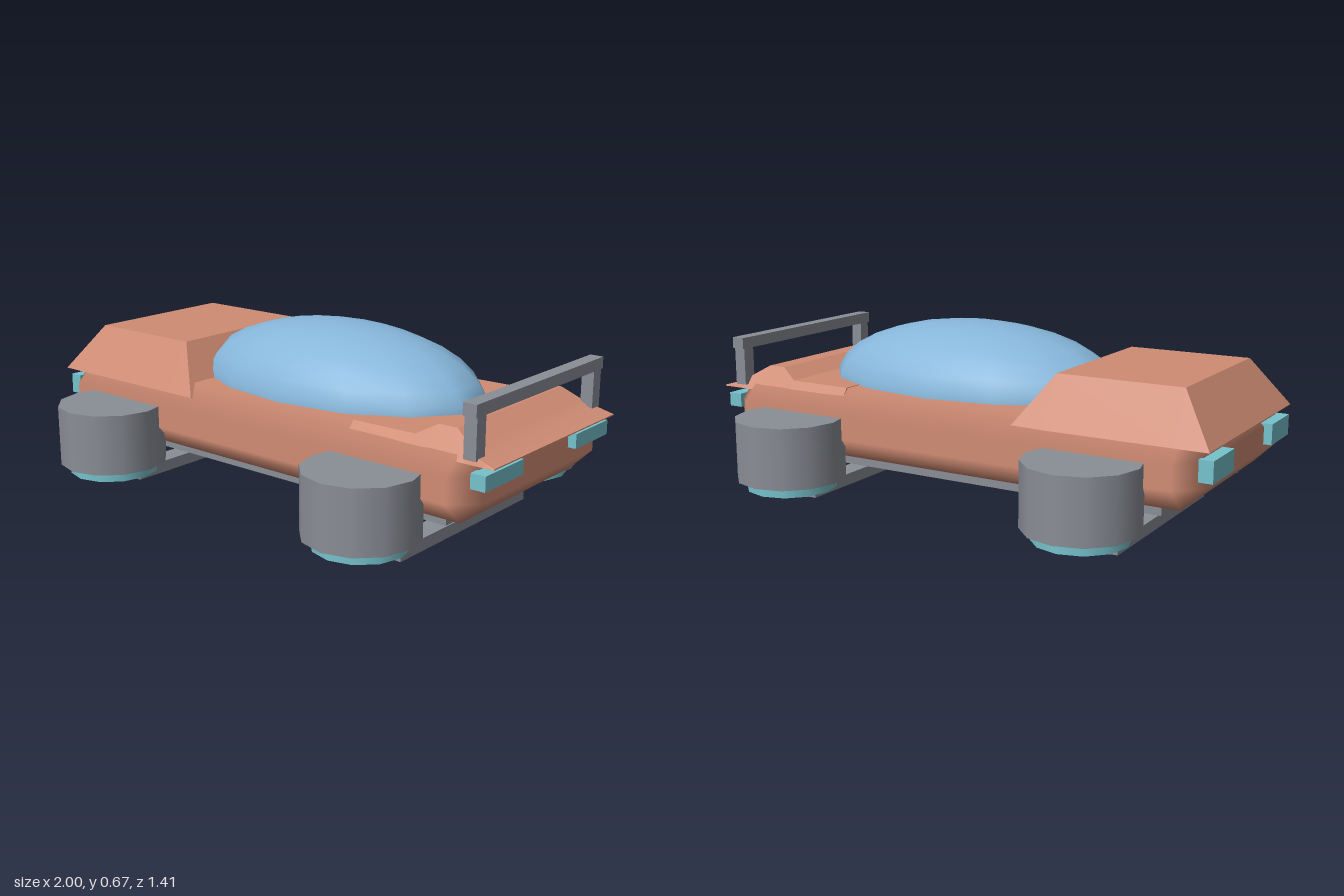
import * as THREE from 'three';
import { toCreasedNormals } from 'three/addons/utils/BufferGeometryUtils.js';
import { ConvexGeometry } from 'three/addons/geometries/ConvexGeometry.js';

const material = (name, color) => {
  const m = new THREE.MeshStandardMaterial({ color });
  m.name = name;
  return m;
};

// Box with every edge chamfered, shaded smoothly across the chamfers
function chamferBox(w, h, d, c) {
  const half = [w / 2, h / 2, d / 2];
  const points = [];
  for (let axis = 0; axis < 3; axis++)
    for (const sx of [-1, 1]) for (const sy of [-1, 1]) for (const sz of [-1, 1]) {
      const p = [sx, sy, sz].map((s, i) => s * (half[i] - (i === axis ? 0 : c)));
      points.push(new THREE.Vector3(...p));
    }
  const geo = new ConvexGeometry(points);
  const pos = geo.attributes.position, normal = geo.attributes.normal;
  for (let i = 0; i < pos.count; i++) {
    const p = [pos.getX(i), pos.getY(i), pos.getZ(i)];
    const n = p.map((v, k) => (Math.abs(v) > half[k] - 1e-4 ? Math.sign(v) : 0));
    normal.setXYZ(i, ...n);
  }
  return geo;
}

// Trapezoid sections lofted along x; each section is [x, top height, top half width]
function loft(sections, yBase, zBase) {
  const rings = sections.map(([x, y, z]) => [
    [x, yBase, -zBase], [x, y, -z], [x, y, z], [x, yBase, zBase],
  ]);
  const out = [];
  const quad = (a, b, c, d) => out.push(...a, ...b, ...c, ...a, ...c, ...d);
  for (let s = 0; s < rings.length - 1; s++) {
    const a = rings[s], b = rings[s + 1];
    for (let i = 0; i < 4; i++) {
      const j = (i + 1) % 4;
      quad(a[i], a[j], b[j], b[i]);
    }
  }
  const first = rings[0], last = rings[rings.length - 1];
  quad(first[3], first[2], first[1], first[0]);
  quad(last[0], last[1], last[2], last[3]);
  const geo = new THREE.BufferGeometry();
  geo.setAttribute('position', new THREE.Float32BufferAttribute(out, 3));
  return toCreasedNormals(geo, 0.5);
}

export function createModel() {
  const model = new THREE.Group();
  model.name = 'hoverCar';
  const coral = material('coral paint', 0xd08c74);
  const blue = material('blue glass', 0x86b6da);
  const grey = material('grey metal', 0x8a8e96);
  const teal = material('teal glow', 0x76c2cc);

  const add = (name, geo, mat, x = 0, y = 0, z = 0) => {
    const mesh = new THREE.Mesh(geo, mat);
    mesh.name = name;
    mesh.position.set(x, y, z);
    model.add(mesh);
    return mesh;
  };
  const box = (name, mat, [x0, x1], [y0, y1], [z0, z1]) =>
    add(name, new THREE.BoxGeometry(x1 - x0, y1 - y0, z1 - z0), mat,
      (x0 + x1) / 2, (y0 + y1) / 2, (z0 + z1) / 2);

  // Hull, raised block at one end and fairing at the other
  add('hull', chamferBox(1.91, 0.258, 0.87, 0.085), coral, -0.015, 0.304, 0);
  add('engineCover', loft([
    [-0.995, 0.392, 0.4], [-0.87, 0.565, 0.3], [-0.41, 0.565, 0.3], [-0.29, 0.392, 0.4],
  ], 0.39, 0.4), coral);
  add('noseFairing', loft([
    [0.43, 0.435, 0.355], [0.68, 0.437, 0.355], [0.75, 0.476, 0.325],
    [0.82, 0.476, 0.325], [0.88, 0.44, 0.35], [0.92, 0.415, 0.378], [0.995, 0.394, 0.385],
  ], 0.39, 0.388), coral);

  // Bubble canopy
  const dome = new THREE.SphereGeometry(1, 14, 8, 0, Math.PI * 2, 0, Math.PI / 2 + 0.001);
  dome.rotateY(Math.PI / 2);
  dome.scale(0.61, 0.257, 0.355);
  add('canopy', dome, blue, 0.09, 0.41, 0);

  // Hover pods with a glowing disc below
  for (const x of [-0.61, 0.58]) for (const z of [-0.503, 0.503]) {
    add('hoverPod', new THREE.CylinderGeometry(0.2, 0.2, 0.225, 12), grey, x, 0.2275, z);
    add('podGlow', new THREE.CylinderGeometry(0.165, 0.165, 0.05, 12), teal, x, 0.103, z);
  }

  // Belly plate and landing skids
  box('bellyPlate', grey, [-0.8, 0.77], [0.13, 0.18], [-0.3, 0.3]);
  for (const x of [-0.645, 0.613]) {
    box('landingSkid', grey, [x - 0.042, x + 0.042], [0, 0.045], [-0.385, 0.385]);
    for (const z of [-0.28, 0.28])
      box('skidLeg', grey, [x - 0.025, x + 0.025], [0.04, 0.15], [z - 0.025, z + 0.025]);
  }

  // Raised crossbar on posts
  box('crossbar', grey, [0.885, 0.935], [0.545, 0.587], [-0.4, 0.4]);
  for (const side of [-1, 1]) {
    const span = (a, b) => (side > 0 ? [a, b] : [-b, -a]);
    box('crossbarPost', grey, [0.887, 0.933], [0.405, 0.55], span(0.342, 0.392));
    // Lamps at both ends
    box('noseLamp', teal, [0.915, 0.97], [0.315, 0.367], span(0.17, 0.392));
    box('tailLamp', teal, [-1, -0.95], [0.285, 0.36], span(0.19, 0.375));
  }
  return model;
}
